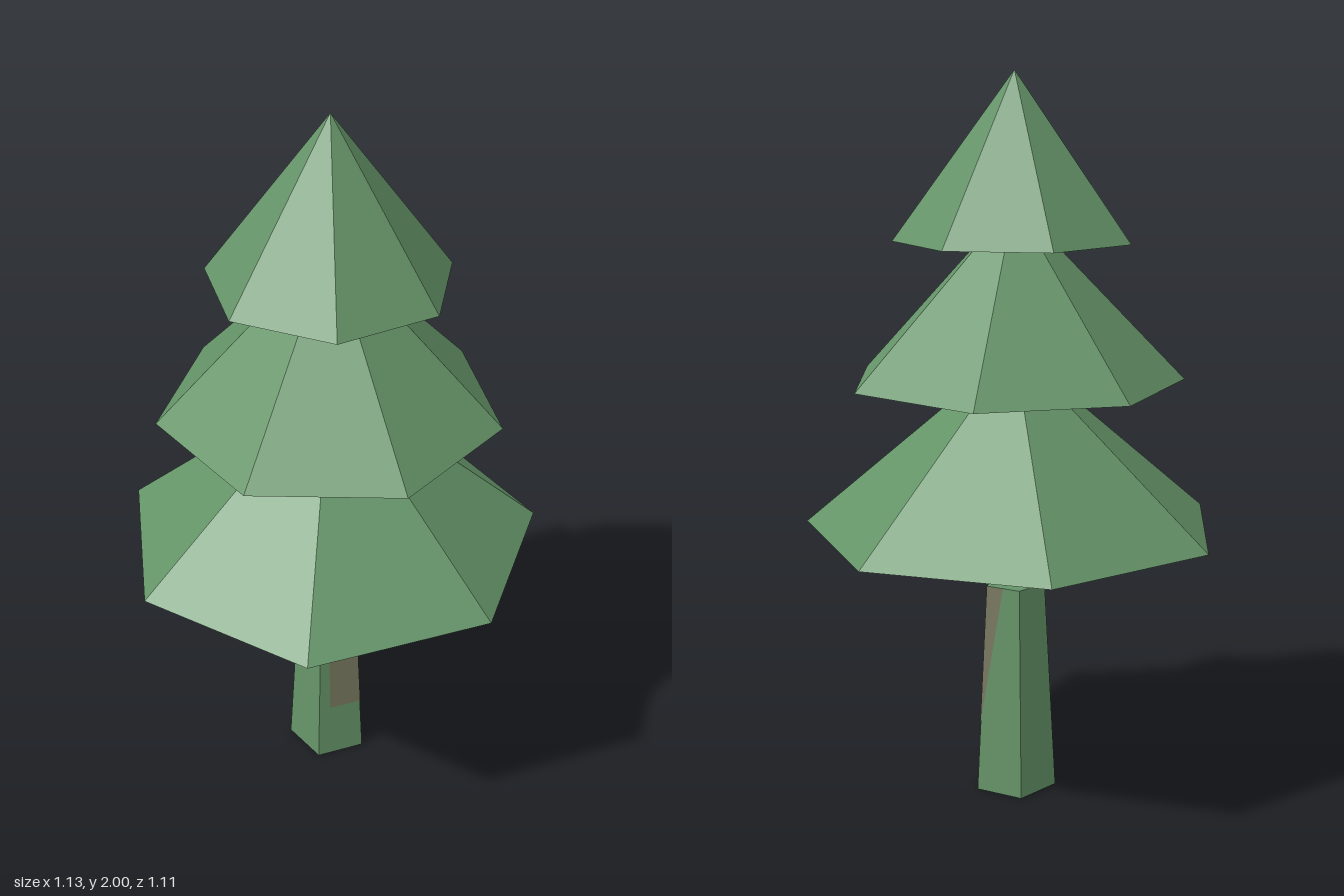
import * as THREE from 'three';

const CENTER_Z = 0.027;

export function createModel() {
  const tree = new THREE.Group();
  tree.name = 'tree';

  const green = new THREE.MeshStandardMaterial({ color: 0x659468, flatShading: true });
  green.name = 'leaf green';
  const brown = new THREE.MeshStandardMaterial({ color: 0x787861, flatShading: true });
  brown.name = 'bark brown';

  const add = (name, geometry, material, y = 0) => {
    const mesh = new THREE.Mesh(geometry, material);
    mesh.name = name;
    mesh.position.set(0, y, CENTER_Z);
    tree.add(mesh);
  };

  // Foliage: seven-sided cones, each turned differently
  const tiers = [
    { name: 'lowerFoliage', radius: 0.582, base: 0.769, tip: 1.265, turn: Math.PI / 7 },
    { name: 'middleFoliage', radius: 0.463, base: 1.18, tip: 1.66, turn: 0.0715 },
    { name: 'upperFoliage', radius: 0.326, base: 1.557, tip: 2, turn: -0.302 },
  ];
  for (const { name, radius, base, tip, turn } of tiers) {
    const cone = new THREE.ConeGeometry(radius, tip - base, 7, 1, false, turn);
    add(name, cone, green, (base + tip) / 2);
  }

  // Trunk: tapered five-sided post
  const HEIGHT = 0.602, R_BOTTOM = 0.118, R_TOP = 0.085;
  const trunk = new THREE.CylinderGeometry(R_TOP, R_BOTTOM, HEIGHT, 5, 1, false, Math.PI / 5);
  add('trunk', trunk, green, HEIGHT / 2);

  // Point on a trunk side: u runs across the side, y is the height
  const sidePoint = (side, u, y) => {
    const r = THREE.MathUtils.lerp(R_BOTTOM, R_TOP, y / HEIGHT) + 0.0015;
    const corner = (k) => {
      const a = (2 * k - 1) * Math.PI / 5;
      return new THREE.Vector3(Math.sin(a) * r, y, Math.cos(a) * r);
    };
    return corner(side).lerp(corner(side + 1), u);
  };

  // Bark patches: thin faces wrapping three sides, corners counter-clockwise
  const LOW = 0.175;
  const patches = [
    { name: 'frontBark', side: 0, corners: [[0.265, LOW], [1, LOW], [1, HEIGHT], [0.2, HEIGHT]] },
    { name: 'leftBark', side: 1, corners: [[0, LOW], [1, LOW], [1, HEIGHT], [0, HEIGHT]] },
    { name: 'backBark', side: 2, corners: [[0, 0.2], [0.5, HEIGHT], [0, HEIGHT]] },
  ];
  for (const { name, side, corners } of patches) {
    const geometry = new THREE.BufferGeometry().setFromPoints(
      corners.map(([u, y]) => sidePoint(side, u, y)));
    geometry.setIndex(corners.length === 4 ? [0, 1, 2, 0, 2, 3] : [0, 1, 2]);
    geometry.computeVertexNormals();
    add(name, geometry, brown);
  }

  return tree;
}
